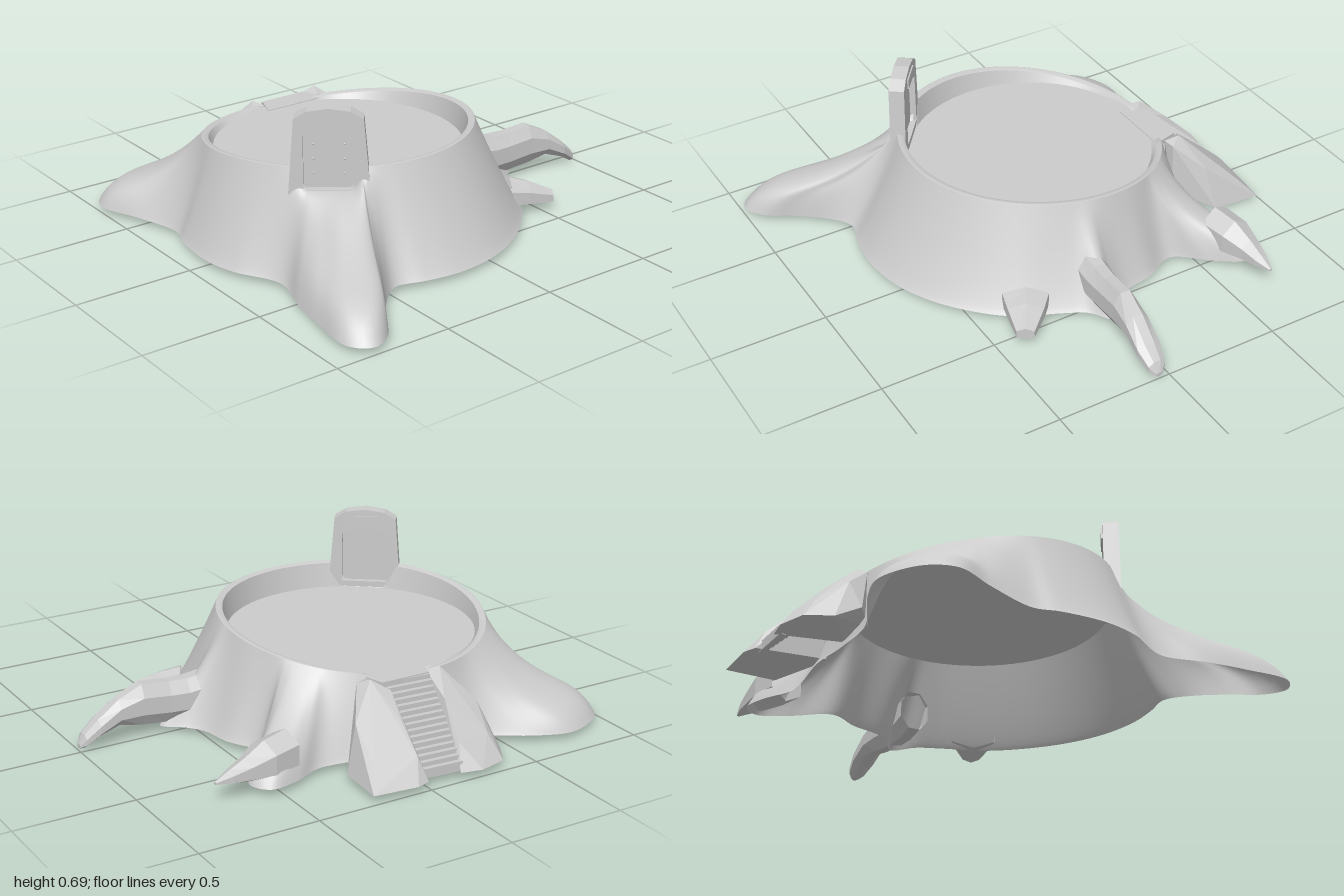
import * as THREE from 'three';
import { ConvexGeometry } from 'three/addons/geometries/ConvexGeometry.js';

const smooth = new THREE.MeshStandardMaterial({ color: 0xcccccc, side: THREE.DoubleSide });
const faceted = new THREE.MeshStandardMaterial({ color: 0xcccccc, side: THREE.DoubleSide, flatShading: true });

const CX = -0.21, CZ = -0.09, RIM = 0.565, FLOOR = 0.332, GROUND = 0.03;
const { smoothstep } = THREE.MathUtils;
const rimHeight = z => 0.425 + 0.08 * z - 0.09 * z * z;
// The rim dips for the doorway and for the head of the stairs
const rimDip = (x, z) => 0.085 * (1 - smoothstep(Math.hypot(x + 0.56, z - 0.34), 0.08, 0.14))
  + 0.012 * (1 - smoothstep(Math.hypot(x + 0.09, z + 0.64), 0.1, 0.18));

function add(parent, name, geometry, material) {
  const mesh = new THREE.Mesh(geometry, material);
  mesh.name = name;
  parent.add(mesh);
  return mesh;
}

// Skin a list of rings (arrays of [x, y, z]) that all close on themselves
function skin(rings) {
  const n = rings[0].length, index = [];
  for (let r = 0; r < rings.length - 1; r++) {
    for (let i = 0; i < n; i++) {
      const a = r * n + i, b = r * n + (i + 1) % n;
      index.push(a, b, a + n, b, b + n, a + n);
    }
  }
  const geometry = new THREE.BufferGeometry();
  geometry.setAttribute('position', new THREE.Float32BufferAttribute(rings.flat(2), 3));
  geometry.setIndex(index);
  geometry.computeVertexNormals();
  return geometry;
}

// Faceted root: sections are [x, y, z, halfWidth, halfHeight] along a path
function rootGeometry(sections, sides = 8) {
  const rings = sections.map(([x, y, z, w, h], k) => {
    const p = sections[Math.max(k - 1, 0)], q = sections[Math.min(k + 1, sections.length - 1)];
    const len = Math.hypot(q[0] - p[0], q[2] - p[2]);
    const sx = -(q[2] - p[2]) / len, sz = (q[0] - p[0]) / len;
    return Array.from({ length: sides }, (_, i) => {
      const a = (i + 0.5) / sides * Math.PI * 2;
      return [x + sx * w * Math.cos(a), y + h * Math.sin(a), z + sz * w * Math.cos(a)];
    });
  });
  const [x, y, z] = sections[sections.length - 1];
  rings.push(rings[0].map(() => [x, y, z]));
  return skin(rings);
}

function buildStump(group) {
  // Ground outline, swelling into the smooth roots
  const outline = [
    [0.64, 0.02], [0.55, 0.09], [0.5, 0.18], [0.4, 0.38], [0.2, 0.57], [0, 0.67], [-0.2, 0.7], [-0.35, 0.68],
    [-0.47, 0.65], [-0.55, 0.7], [-0.66, 0.83], [-0.74, 0.95], [-0.83, 0.995], [-0.905, 0.93],
    [-0.89, 0.72], [-0.86, 0.55], [-0.81, 0.36], [-0.9, 0.16], [-0.93, 0], [-0.91, -0.2],
    [-0.88, -0.3], [-0.94, -0.53], [-1, -0.7], [-0.96, -0.8], [-0.86, -0.87], [-0.75, -0.895],
    [-0.62, -0.85], [-0.4, -0.73], [-0.2, -0.71], [0, -0.71], [0.2, -0.67], [0.3, -0.665],
    [0.43, -0.72], [0.55, -0.735], [0.6, -0.66], [0.53, -0.54], [0.42, -0.4], [0.48, -0.26], [0.51, -0.12], [0.56, -0.05],
  ];
  const curve = new THREE.CatmullRomCurve3(outline.map(([x, z]) => new THREE.Vector3(x, 0, z)), true);
  const foot = curve.getSpacedPoints(260).slice(0, -1);
  const rim = foot.map(p => {
    const d = Math.hypot(p.x - CX, p.z - CZ);
    return [CX + (p.x - CX) / d * RIM, CZ + (p.z - CZ) / d * RIM];
  });

  // Outer wall: steep on the trunk, long and low with rounded ends along the roots
  const rows = 30, wall = [];
  for (let r = 0; r <= rows; r++) {
    const t = r / rows;
    wall.push(foot.map((p, i) => {
      const [rx, rz] = rim[i];
      const reach = smoothstep(Math.hypot(p.x - CX, p.z - CZ), 0.76, 1.05);
      const trunk = Math.pow(1 - t, 1.15);
      const root = 0.7 * Math.pow(1 - t, 2.2) + 0.3 * (1 - Math.pow(t, 8));
      const g = trunk + (root - trunk) * reach;
      const y = GROUND + (rimHeight(rz) - GROUND) * g - rimDip(rx, rz) * Math.pow(1 - t, 8);
      return [rx + (p.x - rx) * t, y, rz + (p.z - rz) * t];
    }));
  }
  add(group, 'stumpWall', skin(wall), smooth);

  // Rim edge and the inner wall down to the floor
  const ring = (s, lift) => rim.map(([x, z]) => [CX + (x - CX) * s, rimHeight(z) - rimDip(x, z) + lift, CZ + (z - CZ) * s]);
  const inner = ring(0.95, -0.004);
  add(group, 'rim', skin([ring(1, 0), ring(0.985, 0.004), inner]), smooth);
  add(group, 'innerWall', skin([inner, rim.map(([x, z]) => [CX + (x - CX) * 0.92, FLOOR, CZ + (z - CZ) * 0.92])]), smooth);
  const floor = add(group, 'floor', new THREE.CircleGeometry(RIM * 0.94, 64).rotateX(-Math.PI / 2), smooth);
  floor.position.set(CX, FLOOR, CZ);
}

function buildDoor(group) {
  const door = new THREE.Group();
  door.name = 'doorway';
  door.position.set(-0.555, 0, 0.333);
  door.rotation.y = -0.657;
  group.add(door);

  // Arched frame with a recessed door
  const arch = pts => pts.map(([x, y]) => new THREE.Vector2(x, y));
  const frame = new THREE.Shape(arch([[-0.16, 0.335], [0.16, 0.335], [0.135, 0.65], [0.085, 0.68], [0, 0.692], [-0.085, 0.68], [-0.135, 0.65]]));
  const opening = arch([[-0.1, 0.36], [-0.1, 0.58], [-0.05, 0.6], [0, 0.605], [0.05, 0.6], [0.1, 0.58], [0.1, 0.36]]);
  frame.holes.push(new THREE.Path(opening));
  add(door, 'doorFrame', new THREE.ExtrudeGeometry(frame, { depth: 0.066, bevelEnabled: false }).translate(0, 0, -0.033), faceted);
  add(door, 'doorPanel', new THREE.ExtrudeGeometry(new THREE.Shape(opening), { depth: 0.014, bevelEnabled: false }).translate(0, 0, -0.007), faceted);
  add(door, 'innerPlate', new THREE.BoxGeometry(0.12, 0.045, 0.008), faceted).position.set(0, 0.64, -0.035);
  for (const x of [-0.06, 0.06]) {
    for (const y of [0.42, 0.48, 0.54]) {
      add(door, 'doorStud', new THREE.SphereGeometry(0.005, 8, 6), smooth).position.set(x, y, 0.008);
    }
  }
}

function buildStairs(group) {
  const stairs = new THREE.Group();
  stairs.name = 'stairs';
  group.add(stairs);
  const steps = 15;
  for (let i = 0; i < steps; i++) {
    const t = i / (steps - 1);
    const step = add(stairs, 'step', new THREE.BoxGeometry(0.2, 0.04, 0.024), faceted);
    step.position.set(-0.1 + 0.03 * t, 0.31 - 0.26 * t, -0.67 - 0.275 * t);
    step.rotation.y = -0.07;
  }
  const landing = new THREE.Shape([[-0.24, 0.57], [0.05, 0.57], [0.02, 0.68], [-0.2, 0.68]].map(([x, z]) => new THREE.Vector2(x, z)));
  const slab = add(stairs, 'landing', new THREE.ExtrudeGeometry(landing, { depth: 0.02, bevelEnabled: false }).rotateX(-Math.PI / 2), faceted);
  slab.position.y = FLOOR - 0.017;

  // Sloping rocks on both sides: crest points and ground points
  const rock = (name, points) => add(group, name, new ConvexGeometry(points.map(p => new THREE.Vector3(...p))), faceted);
  rock('rightRock', [
    [-0.42, 0.03, -0.87], [-0.36, 0.03, -0.97], [-0.24, 0.03, -1], [-0.15, 0.03, -0.98], [-0.18, 0.06, -0.68],
    [-0.27, 0.1, -0.64], [-0.41, 0.1, -0.75], [-0.21, 0.33, -0.64], [-0.27, 0.335, -0.65], [-0.25, 0.35, -0.68],
    [-0.36, 0.22, -0.78], [-0.2, 0.26, -0.79], [-0.18, 0.13, -0.92], [-0.33, 0.13, -0.9],
  ]);
  rock('leftRock', [
    [0, 0.03, -0.98], [0.06, 0.03, -1], [0.25, 0.03, -0.98], [0.235, 0.03, -0.77], [0.11, 0.1, -0.62],
    [0, 0.06, -0.67], [0.05, 0.335, -0.61], [0.1, 0.33, -0.62], [0.07, 0.355, -0.67], [0, 0.31, -0.71],
    [0.18, 0.22, -0.74], [0.02, 0.22, -0.82], [0.02, 0.12, -0.93], [0.2, 0.12, -0.9],
  ]);
}

function buildRoots(group) {
  add(group, 'archedRoot', rootGeometry([
    [0.44, 0.15, 0.015, 0.07, 0.09], [0.52, 0.135, 0.02, 0.065, 0.095],
    [0.6, 0.135, 0.025, 0.058, 0.095], [0.72, 0.145, 0.03, 0.055, 0.095], [0.82, 0.13, 0.035, 0.055, 0.06],
    [0.91, 0.08, 0.04, 0.055, 0.04], [0.97, 0.035, 0.04, 0.04, 0.03], [0.99, 0.012, 0.04, 0.015, 0.01],
  ]), faceted);
  add(group, 'smallFrontRoot', rootGeometry([
    [0.4, 0.085, 0.295, 0.11, 0.06], [0.47, 0.075, 0.335, 0.085, 0.05], [0.56, 0.055, 0.39, 0.042, 0.028],
  ], 6), faceted);
  add(group, 'pointedBackRoot', rootGeometry([
    [0.42, 0.125, -0.62, 0.09, 0.085], [0.53, 0.115, -0.645, 0.085, 0.08], [0.62, 0.1, -0.66, 0.055, 0.05],
    [0.69, 0.09, -0.665, 0.036, 0.028], [0.755, 0.08, -0.67, 0.008, 0.006],
  ], 6), faceted);
}

export function createModel() {
  const group = new THREE.Group();
  group.name = 'treeStump';
  buildStump(group);
  buildDoor(group);
  buildStairs(group);
  buildRoots(group);
  return group;
}
